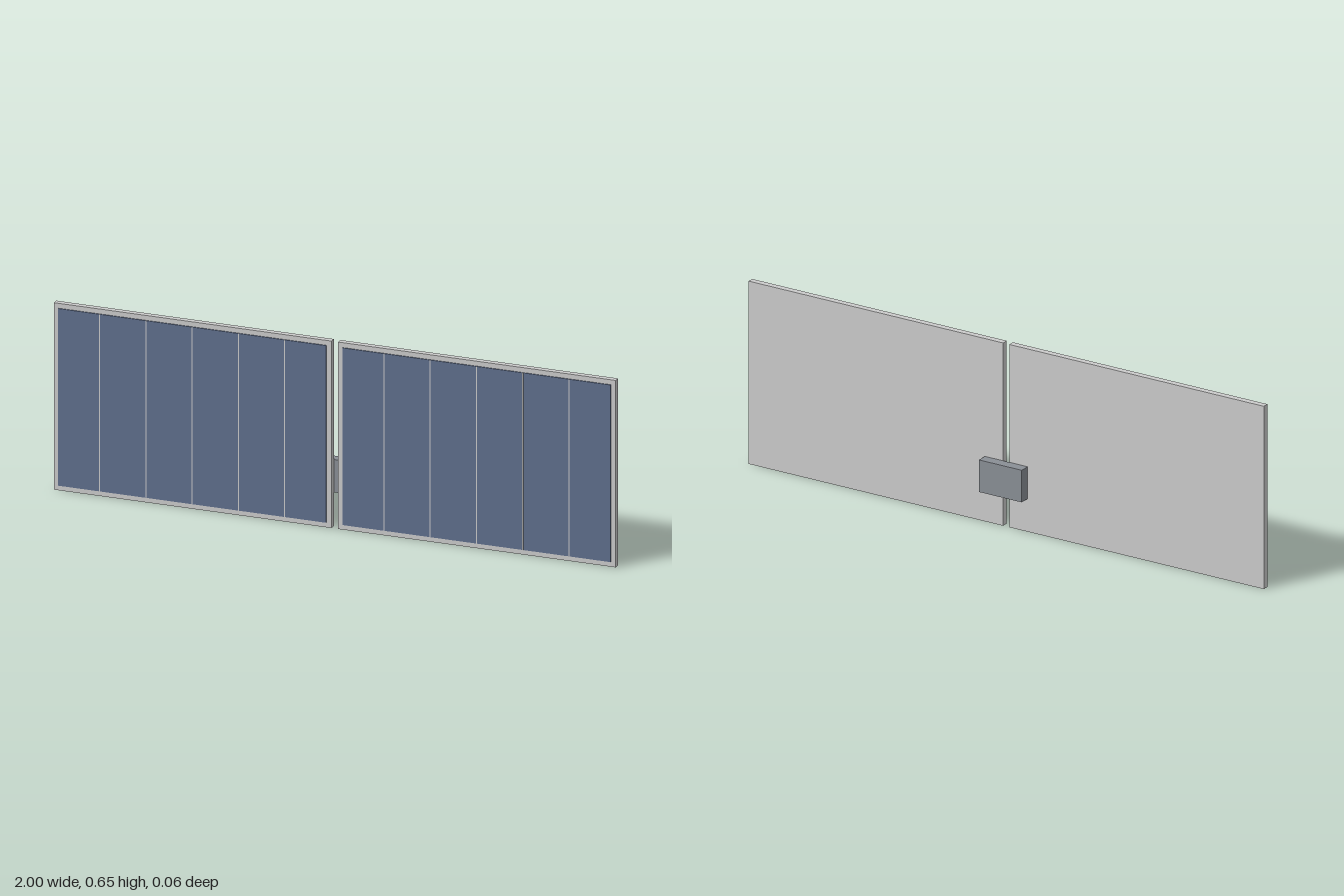
import * as THREE from 'three';

const frameMat = new THREE.MeshStandardMaterial({ color: 0xcccccc });
const cellMat = new THREE.MeshStandardMaterial({ color: 0x5f6f8d });
const boxMat = new THREE.MeshStandardMaterial({ color: 0x8a8f96 });

// Box given by its size and centre
function box(name, mat, [w, h, d], [x, y, z]) {
  const mesh = new THREE.Mesh(new THREE.BoxGeometry(w, h, d), mat);
  mesh.name = name;
  mesh.position.set(x, y, z);
  return mesh;
}

const W = 0.988, H = 0.65, STRIPS = 6;

// One solar panel: backing slab, cell sheet and thin vertical dividers
function panel(name, x) {
  const g = new THREE.Group();
  g.name = name;
  g.position.set(x, H / 2, 0);
  g.add(box('panelFrame', frameMat, [W, H, 0.022], [0, 0, 0.016]));
  g.add(box('cellSheet', cellMat, [W - 0.034, H - 0.034, 0.0035], [0, 0, 0.02875]));
  for (let i = 1; i < STRIPS; i++) {
    g.add(box('cellDivider', frameMat, [0.004, H - 0.034, 0.003], [-W / 2 + (W * i) / STRIPS, 0, 0.0295]));
  }
  return g;
}

export function createModel() {
  const model = new THREE.Group();
  model.name = 'foldingSolarPanel';
  model.add(panel('leftPanel', 1 - W / 2), panel('rightPanel', W / 2 - 1));
  // Junction box bridging the gap at the back
  model.add(box('junctionBox', boxMat, [0.166, 0.114, 0.036], [0, 0.174, -0.013]));
  return model;
}
